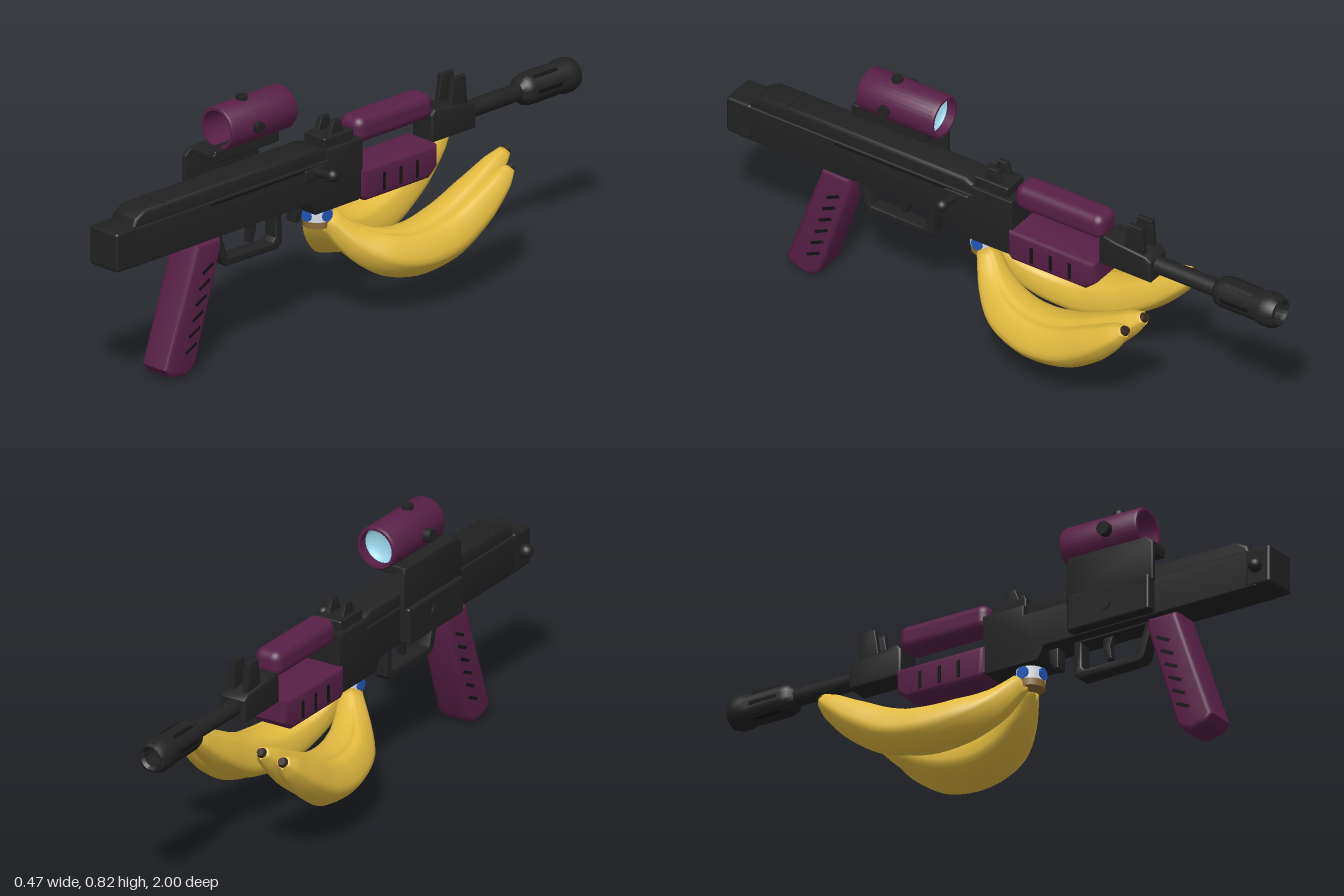
import * as THREE from 'three';
import { RoundedBoxGeometry } from 'three/addons/geometries/RoundedBoxGeometry.js';
import { toCreasedNormals } from 'three/addons/utils/BufferGeometryUtils.js';

const mat = (name, color, side = THREE.FrontSide) => {
  const m = new THREE.MeshStandardMaterial({ color, side });
  m.name = name;
  return m;
};

export function createModel() {
  const root = new THREE.Group();
  root.name = 'bananaBlaster';
  const dark = mat('charcoal', 0x222222);
  const black = mat('black', 0x131313);
  const purple = mat('plum', 0x582046);
  const yellow = mat('banana yellow', 0xe2ba40);
  const brown = mat('banana tip brown', 0x33261a);
  const tan = mat('stem tan', 0x8a6a35);
  const blue = mat('sticker blue', 0x2458c0);
  const white = mat('sticker white', 0xd8dde2);
  const glass = mat('lens blue', 0x9ad6e8, THREE.DoubleSide);

  const add = (name, geo, m, x = 0, y = 0, z = 0) => {
    const mesh = new THREE.Mesh(geo, m);
    mesh.name = name;
    mesh.position.set(x, y, z);
    root.add(mesh);
    return mesh;
  };
  // box given by its limits on each axis
  const box = (name, m, [x0, x1], [y0, y1], [z0, z1], r = 0.006) =>
    add(name, r ? new RoundedBoxGeometry(x1 - x0, y1 - y0, z1 - z0, 4, r)
      : new THREE.BoxGeometry(x1 - x0, y1 - y0, z1 - z0),
    m, (x0 + x1) / 2, (y0 + y1) / 2, (z0 + z1) / 2);
  // side outline of [z, y] points, extruded across x with bevelled edges
  const slab = (name, m, pts, width, b = 0.008, x = 0, hole = null) => {
    const v = (list) => list.map(([z, y]) => new THREE.Vector2(-z, y));
    const shape = new THREE.Shape(v(pts));
    if (hole) shape.holes.push(new THREE.Path(v(hole)));
    const geo = new THREE.ExtrudeGeometry(shape, {
      depth: width - 2 * b, bevelEnabled: true, bevelSize: b, bevelThickness: b,
      bevelOffset: -b, bevelSegments: 3,
    });
    geo.translate(0, 0, b - width / 2).rotateY(Math.PI / 2);
    return add(name, toCreasedNormals(geo, 0.7), m, x);
  };
  // turned part along z, outer wall running from -z to +z in [radius, z] points
  const turned = (name, m, pts, y) => {
    const geo = new THREE.LatheGeometry(pts.map(([r, z]) => new THREE.Vector2(r, z)), 32);
    return add(name, toCreasedNormals(geo.rotateX(Math.PI / 2), 0.6), m, 0, y, 0);
  };
  const rod = (name, m, r, len, axis, x, y, z) => {
    const geo = new THREE.CylinderGeometry(r, r, len, 24);
    if (axis === 'x') geo.rotateZ(Math.PI / 2);
    if (axis === 'z') geo.rotateX(Math.PI / 2);
    return add(name, geo, m, x, y, z);
  };

  // receiver, top cover and rear cap
  slab('receiver', dark, [[0.95, 0.42], [0.95, 0.543], [0.1, 0.543], [0.1, 0.575], [-0.05, 0.575],
    [-0.05, 0.385], [-0.03, 0.378], [0.15, 0.378], [0.17, 0.42]], 0.118, 0.004);
  slab('topCover', dark, [[0.92, 0.54], [0.91, 0.568], [0.87, 0.589], [0.13, 0.589], [0.1, 0.575],
    [0.1, 0.53]], 0.104, 0.012);
  box('rearCap', dark, [-0.06, 0.06], [0.42, 0.547], [0.91, 1], 0.01);
  add('slingStud', new THREE.SphereGeometry(0.022, 20, 14), dark, -0.072, 0.48, 0.955);
  box('coverRib', dark, [-0.045, 0.045], [0.585, 0.592], [0.78, 0.792], 0);

  // bolt channel and handle
  box('boltRail', black, [0.057, 0.061], [0.53, 0.536], [0.17, 0.6], 0);
  box('boltCarrier', dark, [0.05, 0.064], [0.495, 0.535], [0.11, 0.2]);
  rod('boltHandle', dark, 0.013, 0.08, 'x', 0.095, 0.524, 0.155).rotation.z = 0.12;
  add('boltKnob', new THREE.SphereGeometry(0.02, 20, 14), dark, 0.135, 0.529, 0.155);
  box('selectorLever', dark, [0.057, 0.063], [0.5, 0.512], [0.3, 0.52], 0);

  // trigger group
  slab('triggerGuard', dark, [[0.55, 0.425], [0.515, 0.31], [0.5, 0.298], [0.28, 0.294], [0.262, 0.31],
    [0.262, 0.425]], 0.05, 0.004, 0, [[0.52, 0.412], [0.492, 0.323], [0.3, 0.32], [0.288, 0.333], [0.288, 0.412]]);
  slab('trigger', dark, [[0.4, 0.425], [0.384, 0.385], [0.39, 0.342], [0.373, 0.338], [0.358, 0.38],
    [0.362, 0.425]], 0.024, 0.002);
  slab('releaseLever', dark, [[0.2, 0.425], [0.165, 0.425], [0.17, 0.38], [0.183, 0.352], [0.2, 0.355]], 0.04, 0.003);

  // pistol grip with slanted grooves
  slab('grip', purple, [[0.652, 0.415], [0.55, 0.415], [0.545, 0.39], [0.655, 0.035],
    [0.675, 0.012], [0.705, 0.0], [0.765, 0.014], [0.784, 0.04]], 0.114, 0.016);
  for (let i = 0; i < 6; i++) {
    const y = 0.33 - i * 0.048;
    for (const s of [-1, 1]) {
      const groove = add('gripGroove', new THREE.BoxGeometry(0.004, 0.01, 0.05), black,
        s * 0.0565, y, 0.708 - 0.3 * y);
      groove.rotation.x = 0.45;
    }
  }

  // handguards
  box('upperHandguard', purple, [-0.047, 0.047], [0.545, 0.63], [-0.37, -0.045], 0.03);
  slab('lowerHandguard', purple, [[-0.04, 0.473], [-0.04, 0.385], [-0.055, 0.37], [-0.325, 0.37],
    [-0.36, 0.4], [-0.36, 0.473]], 0.14, 0.014);
  for (const z of [-0.13, -0.2, -0.27])
    for (const s of [-1, 1])
      box('handguardSlot', black, [s * 0.07 - 0.002, s * 0.07 + 0.002], [0.388, 0.445], [z - 0.006, z + 0.006], 0);

  // rear and front sights
  box('rearSightBase', dark, [-0.045, 0.045], [0.57, 0.608], [-0.025, 0.1]);
  slab('frontSightBlock', dark, [[-0.36, 0.468], [-0.36, 0.555], [-0.375, 0.572], [-0.42, 0.565],
    [-0.53, 0.555], [-0.548, 0.54], [-0.548, 0.468]], 0.088, 0.006);
  for (const s of [-1, 1]) {
    slab('rearSightEar', dark, [[0.07, 0.6], [0.052, 0.65], [0.02, 0.65], [0.005, 0.6]], 0.018, 0.003, s * 0.025);
    slab('frontSightEar', dark, [[-0.445, 0.55], [-0.46, 0.647], [-0.513, 0.647], [-0.52, 0.55]],
      0.018, 0.003, s * 0.026);
  }
  rod('frontSightPost', dark, 0.006, 0.06, 'y', 0, 0.58, -0.485);

  // barrel and hollow muzzle with slots
  rod('barrel', dark, 0.028, 0.26, 'z', 0, 0.512, -0.66);
  turned('muzzle', dark, [[0.001, -0.94], [0.03, -0.94], [0.03, -0.99], [0.038, -1], [0.048, -0.995],
    [0.055, -0.975], [0.055, -0.945], [0.049, -0.925], [0.05, -0.8], [0.045, -0.78], [0.026, -0.762]], 0.512);
  for (let i = 0; i < 6; i++) {
    const a = i * Math.PI / 3;
    const slot = add('muzzleSlot', new THREE.BoxGeometry(0.006, 0.012, 0.1), black,
      Math.cos(a) * 0.0475, 0.512 + Math.sin(a) * 0.0475, -0.86);
    slot.rotation.z = a;
  }

  // scope mount clamped on one side
  box('mountClamp', dark, [-0.094, -0.055], [0.425, 0.545], [0.28, 0.58], 0.008);
  slab('mountPlate', dark, [[0.585, 0.53], [0.585, 0.655], [0.56, 0.676], [0.28, 0.676], [0.27, 0.655],
    [0.27, 0.53]], 0.016, 0.003, -0.072);
  box('mountShelf', dark, [-0.078, 0.034], [0.658, 0.678], [0.28, 0.558], 0.005);
  box('mountSaddle', dark, [-0.034, 0.034], [0.648, 0.686], [0.28, 0.555], 0.005);
  rod('mountScrew', dark, 0.022, 0.008, 'x', -0.094, 0.485, 0.42);

  // scope: open tube, domed lens and three turret knobs
  turned('scopeTube', purple, [[0.058, 0.236], [0.066, 0.236], [0.07, 0.242], [0.07, 0.508], [0.066, 0.516],
    [0.058, 0.516], [0.058, 0.236]], 0.743);
  const dome = new THREE.SphereGeometry(0.059, 32, 10, 0, Math.PI * 2, 0, Math.PI / 2);
  dome.rotateX(Math.PI / 2).scale(1, 1, 0.5);
  add('lens', dome, glass, 0, 0.743, 0.262);
  rod('topTurret', dark, 0.018, 0.025, 'y', 0, 0.812, 0.41);
  rod('sideTurret', dark, 0.022, 0.03, 'x', -0.077, 0.741, 0.41);
  rod('sideTurret', dark, 0.018, 0.024, 'x', 0.073, 0.741, 0.41);

  // stem with a wrapped sticker
  rod('stem', tan, 0.044, 0.07, 'y', 0, 0.35, 0.088);
  rod('stickerBand', white, 0.046, 0.04, 'y', 0, 0.357, 0.088);
  for (let i = 0; i < 4; i++) {
    const a = i * Math.PI / 2;
    const spot = rod('stickerSpot', blue, 0.02, 0.006, 'x', Math.cos(a) * 0.045, 0.357, 0.088 - Math.sin(a) * 0.045);
    spot.rotation.y = a;
  }

  // banana: softened five-sided section swept along a curve
  const banana = (pts, radii, turn) => {
    const curve = new THREE.CatmullRomCurve3(pts);
    const N = 36, M = 30, pos = [], idx = [];
    const X = new THREE.Vector3(1, 0, 0);
    for (let i = 0; i <= N; i++) {
      const t = i / N, p = curve.getPoint(t), T = curve.getTangent(t);
      const n = T.clone().cross(X).normalize(), b = n.clone().cross(T);
      const f = t * (radii.length - 1), k = Math.min(Math.floor(f), radii.length - 2);
      const r = THREE.MathUtils.lerp(radii[k], radii[k + 1], f - k);
      for (let j = 0; j < M; j++) {
        const a = j / M * Math.PI * 2, side = Math.PI * 0.4;
        const q = (a % side) - side / 2;
        const R = r * (0.5 + 0.5 * Math.cos(side / 2) / Math.cos(q)) * 1.03;
        const v = p.clone().addScaledVector(n, R * Math.cos(a + turn)).addScaledVector(b, R * Math.sin(a + turn));
        pos.push(v.x, v.y, v.z);
        if (i < N) {
          const c = i * M + j, d = i * M + (j + 1) % M;
          idx.push(c, c + M, d, d, c + M, d + M);
        }
      }
    }
    for (let j = 1; j < M - 1; j++) {
      idx.push(0, j, j + 1);
      idx.push(N * M, N * M + j + 1, N * M + j);
    }
    const geo = new THREE.BufferGeometry();
    geo.setAttribute('position', new THREE.Float32BufferAttribute(pos, 3));
    geo.setIndex(idx);
    geo.computeVertexNormals();
    add('banana', geo, yellow);
    const dir = curve.getTangent(1);
    const cap = add('bananaTip', new THREE.CylinderGeometry(0.012, 0.019, 0.018, 16), brown);
    cap.position.copy(pts[pts.length - 1]).addScaledVector(dir, 0.003);
    cap.quaternion.setFromUnitVectors(new THREE.Vector3(0, 1, 0), dir);
  };
  const radii = [0.034, 0.053, 0.067, 0.073, 0.072, 0.06, 0.039, 0.02];
  const inner = [[0.02, 0.335, 0.065], [0.06, 0.265, 0.005], [0.095, 0.22, -0.08], [0.115, 0.205, -0.19],
    [0.122, 0.23, -0.31], [0.127, 0.3, -0.44], [0.13, 0.372, -0.54], [0.13, 0.406, -0.585]];
  const outer = [[0.025, 0.33, 0.065], [0.078, 0.255, 0.0], [0.126, 0.21, -0.08], [0.152, 0.193, -0.19],
    [0.163, 0.213, -0.31], [0.174, 0.28, -0.43], [0.182, 0.345, -0.515], [0.184, 0.374, -0.55]];
  for (const s of [-1, 1])
    for (const path of [inner, outer])
      banana(path.map(([x, y, z]) => new THREE.Vector3(s * x, y, z)), radii, s * 0.15);

  return root;
}
